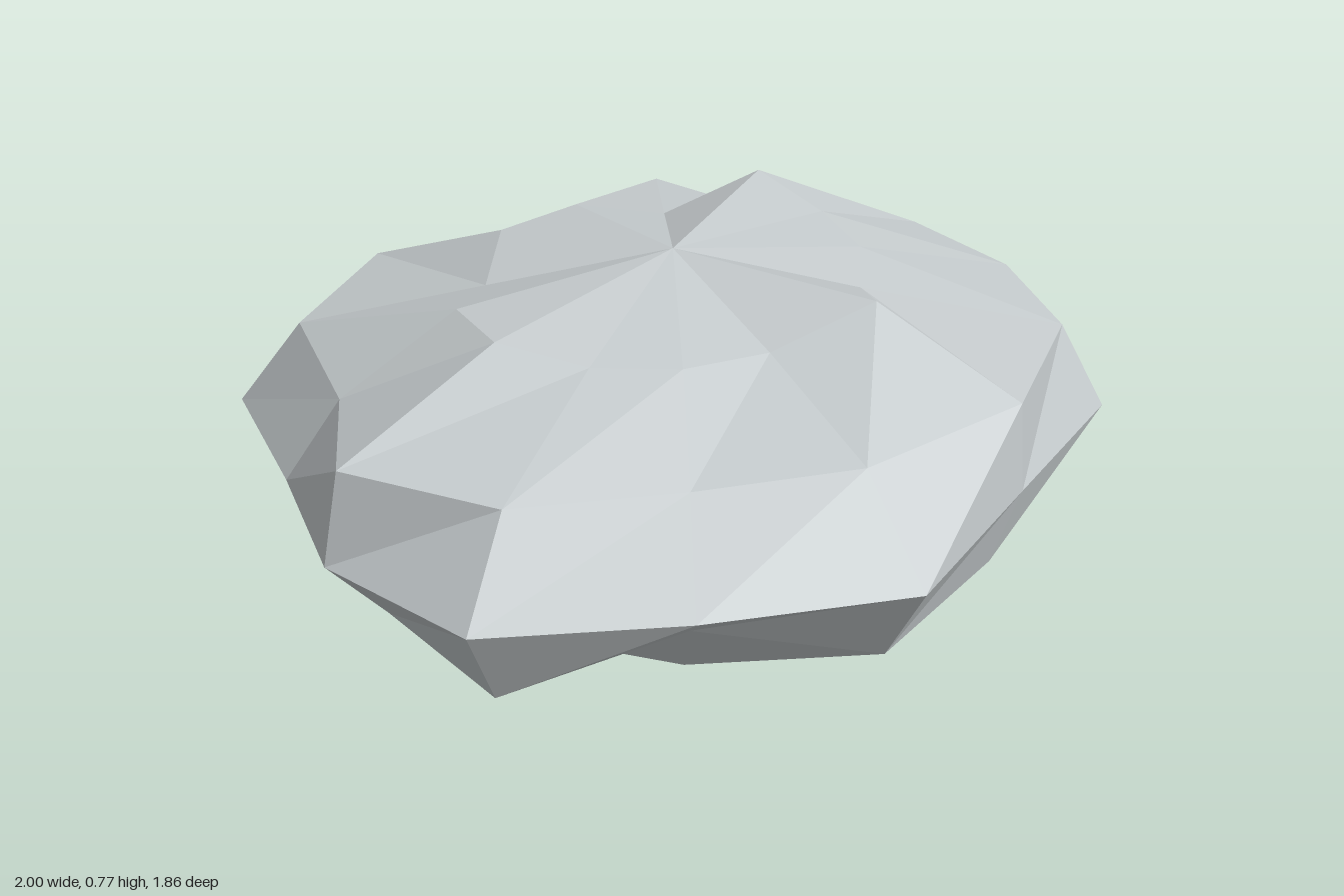
import * as THREE from 'three';

const SIDES = 14, MID = 0.39, HEIGHT = 0.365, DEPTH = 0.85;

// Radius of each ring, from upper to lower; corners run from +x round by +z
const RINGS = [
  { lat: 60, r: [1.02, .97, .92, 1.15, .92, .93, .95, 1.06, 1.04, .92, 1.06, 1.05, .93, 1.16] },
  { lat: 30, r: [1.016, 1.04, 1.11, 1.12, 1.01, .89, 1.045, 1.10, .92, 1.07, 1.10, .97, 1.12, .91] },
  { lat: 0, r: [1, 1.03, 1.08, .99, 1.12, 1.02, 1.08, 1, .93, 1.09, 1.12, .94, 1.06, 1.03] },
  { lat: -30, r: [1.13, .94, 1.08, 1.06, 1.13, .89, 1.12, .98, .95, 1.0, 1.06, 1.0, 1.03, 1.18] },
  { lat: -60, r: [1, .98, .95, 1.12, .98, 1.08, .95, .93, .98, 1, 1.1, .96, 1, .98] },
];
// Corners of the lowest ring that lift off the ground
const LIFT = { 2: 0.085, 4: 0.06, 13: 0.06 };

function rockGeometry() {
  const pos = [0, MID + HEIGHT * 1.05, 0];
  const index = [];
  RINGS.forEach(({ lat, r }) => {
    const t = THREE.MathUtils.degToRad(lat);
    r.forEach((radius, j) => {
      const a = (j / SIDES) * Math.PI * 2;
      // the lowest ring is flattened onto the ground
      const y = lat === -60 ? LIFT[j] ?? 0 : MID + radius * Math.sin(t) * HEIGHT;
      pos.push(radius * Math.cos(t) * Math.cos(a), y, radius * Math.cos(t) * Math.sin(a) * DEPTH);
    });
  });
  pos.push(0, 0, 0);

  const at = (ring, j) => 1 + ring * SIDES + (j % SIDES);
  const last = RINGS.length - 1, base = 1 + RINGS.length * SIDES;
  for (let j = 0; j < SIDES; j++) {
    index.push(0, at(0, j + 1), at(0, j)); // top fan
    for (let i = 0; i < last; i++) {
      index.push(at(i, j), at(i, j + 1), at(i + 1, j + 1));
      index.push(at(i, j), at(i + 1, j + 1), at(i + 1, j));
    }
    index.push(base, at(last, j), at(last, j + 1)); // underside fan
  }
  const geo = new THREE.BufferGeometry();
  geo.setAttribute('position', new THREE.Float32BufferAttribute(pos, 3));
  geo.setIndex(index);
  const faceted = geo.toNonIndexed();
  faceted.computeVertexNormals();
  return faceted;
}

export function createModel() {
  const stone = new THREE.MeshStandardMaterial({ color: 0xc5cbcd, flatShading: true });
  stone.name = 'stone grey';
  const rock = new THREE.Mesh(rockGeometry(), stone);
  rock.name = 'rock';
  const group = new THREE.Group();
  group.name = 'boulder';
  group.add(rock);
  return group;
}
